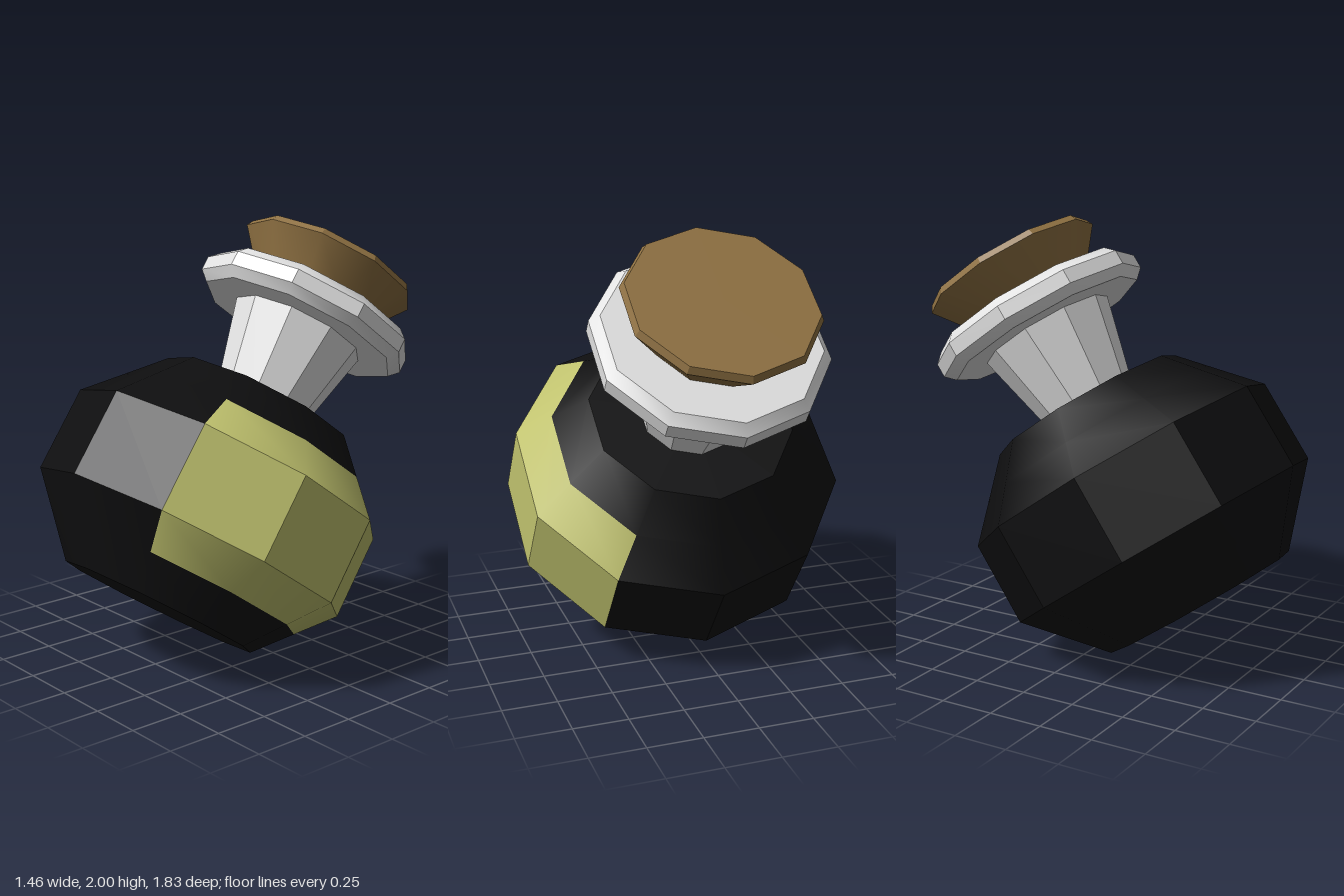
import * as THREE from 'three';
import { toCreasedNormals } from 'three/addons/utils/BufferGeometryUtils.js';

const SIDES = 10;
const CREASE = Math.PI / 6;

const glass = new THREE.MeshStandardMaterial({ name: 'darkGlass', color: 0x0e0e0f });
const paper = new THREE.MeshStandardMaterial({ name: 'yellowLabel', color: 0xc0c26e });
const pale = new THREE.MeshStandardMaterial({ name: 'paleNeck', color: 0xe2e2e2 });
const wood = new THREE.MeshStandardMaterial({ name: 'cork', color: 0x8f7142 });

// Ten-sided turned part from [radius, height] pairs, listed bottom to top
function turned(name, profile, material) {
  const points = profile.map(([r, y]) => new THREE.Vector2(r, y));
  const geometry = toCreasedNormals(new THREE.LatheGeometry(points, SIDES), CREASE);
  const mesh = new THREE.Mesh(geometry, material);
  mesh.name = name;
  return mesh;
}

// Gives material 1 to the triangles whose centre passes the test, 0 to the rest
function paintFaces(geometry, test) {
  const p = geometry.attributes.position;
  const c = new THREE.Vector3(), v = new THREE.Vector3();
  geometry.clearGroups();
  let start = 0, current = -1;
  for (let i = 0; i < p.count; i += 3) {
    c.set(0, 0, 0);
    for (let k = 0; k < 3; k++) c.add(v.fromBufferAttribute(p, i + k));
    const index = test(c.divideScalar(3)) ? 1 : 0;
    if (index !== current) {
      if (current >= 0) geometry.addGroup(start, i - start, current);
      start = i;
      current = index;
    }
  }
  geometry.addGroup(start, p.count - start, current);
}

export function createModel() {
  const model = new THREE.Group();
  model.name = 'bottle';

  // Everything is turned about one axis that leans backwards
  const tilted = new THREE.Group();
  tilted.name = 'tiltedBottle';
  tilted.rotation.x = THREE.MathUtils.degToRad(-35);
  model.add(tilted);

  // Body, with extra rings where the label ends halfway up each bevel
  const body = turned('body', [
    [0, -0.05], [0.471, -0.05], [0.6185, 0.114], [0.766, 0.277],
    [0.766, 0.677], [0.6185, 0.837], [0.471, 0.998], [0, 0.998],
  ], [glass, paper]);
  // Label covers the three sides facing +x
  paintFaces(body.geometry, (c) => {
    const angle = THREE.MathUtils.radToDeg(Math.atan2(c.x, c.z));
    return angle > 36 && angle < 144 && c.y > 0.114 && c.y < 0.837;
  });
  body.position.z = 0.547;

  // Neck, rim and stopper sit slightly to one side of the body's axis
  const top = new THREE.Group();
  top.name = 'bottleTop';
  top.position.set(0.015, 0, 0.547);
  top.add(
    turned('neck', [[0.22, 0.98], [0.325, 1.41]], pale),
    turned('rim', [
      [0, 1.403], [0.485, 1.403], [0.529, 1.446], [0.529, 1.513], [0.485, 1.556], [0, 1.556],
    ], pale),
    turned('stopper', [[0.288, 1.55], [0.434, 1.739], [0.417, 1.77], [0, 1.77]], wood),
  );

  tilted.add(body, top);
  return model;
}
